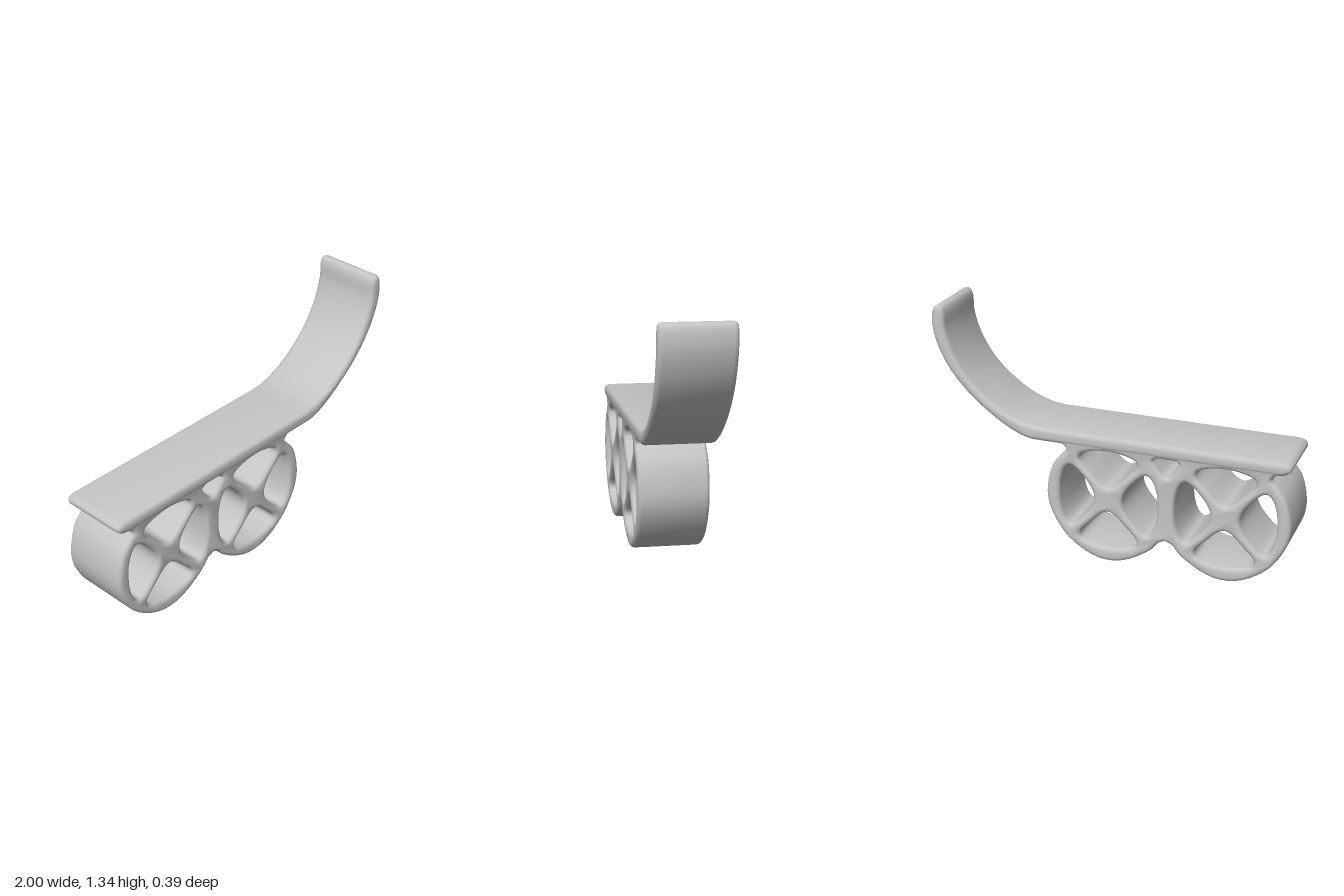
import * as THREE from 'three';
import { mergeVertices, toCreasedNormals } from 'three/addons/utils/BufferGeometryUtils.js';

const HUB_Y = 0.364;
const MID_X = -0.325; // mirror line between the two wheels

const vec = ([x, y]) => new THREE.Vector2(x, y);

// Smooth curve through a few points
function smooth(points, closed, samples) {
  const curve = new THREE.CatmullRomCurve3(
    points.map(([x, y]) => new THREE.Vector3(x, y, 0)), closed, 'centripetal');
  const result = curve.getPoints(samples).map((p) => [p.x, p.y]);
  if (closed) result.pop();
  return result;
}

// Extrusion along z with rounded edges that stay inside the outline.
// The outline runs counter-clockwise, holes clockwise.
function slab(outline, holes, halfDepth, bevel) {
  const wind = (points, clockwise) => {
    const path = points.map(vec);
    return THREE.ShapeUtils.isClockWise(path) === clockwise ? path : path.reverse();
  };
  const shape = new THREE.Shape(wind(outline, false));
  holes.forEach((h) => shape.holes.push(new THREE.Path(wind(h, true))));
  let geometry = new THREE.ExtrudeGeometry(shape, {
    depth: 2 * (halfDepth - bevel), bevelEnabled: true, bevelThickness: bevel,
    bevelSize: bevel, bevelOffset: -bevel, bevelSegments: 3,
  });
  geometry.translate(0, 0, bevel - halfDepth);
  geometry.deleteAttribute('uv');
  geometry.deleteAttribute('normal');
  geometry = mergeVertices(geometry, 1e-4);
  return toCreasedNormals(geometry, 0.6);
}

export function createModel() {
  const group = new THREE.Group();
  const grey = new THREE.MeshStandardMaterial({ color: 0xc4c4c4 });
  grey.name = 'grey';

  const add = (name, geometry) => {
    const mesh = new THREE.Mesh(geometry, grey);
    mesh.name = name;
    group.add(mesh);
  };

  // Flat deck sweeping up into a curved tail
  const tail = [[0.38, 0.73], [0.47, 0.742], [0.61, 0.8], [0.785, 0.94],
    [0.88, 1.085], [0.922, 1.22], [0.925, 1.3], [0.937, 1.335], [0.96, 1.346],
    [0.985, 1.335], [0.998, 1.3], [0.996, 1.2], [0.935, 1.04], [0.81, 0.88],
    [0.64, 0.745], [0.53, 0.683], [0.45, 0.657], [0.38, 0.654]];
  const deckEnd = [[-0.92, 0.654], [-0.965, 0.665], [-0.99, 0.69],
    [-0.985, 0.715], [-0.95, 0.73]];
  add('deckAndTail', slab(
    [...smooth(tail, false, 54), ...smooth(deckEnd, false, 10)], [], 0.193, 0.024));

  // Outer edge of the right wheel, from the deck round to the valley
  const rim = [[0.3, 0.71], [0.28, 0.67], [0.25, 0.645], [0.238, 0.622],
    [0.268, 0.59], [0.318, 0.525], [0.351, 0.39], [0.345, 0.3], [0.312, 0.215],
    [0.24, 0.112], [0.13, 0.034], [0.05, 0.006], [0, 0.002], [-0.05, 0.006],
    [-0.13, 0.034], [-0.24, 0.105], [-0.29, 0.16], [MID_X, 0.175]];
  const rightEdge = smooth(rim, false, 54);
  const leftEdge = rightEdge.slice(0, -1).reverse().map(([x, y]) => [2 * MID_X - x, y]);

  // Four openings between the crossed spokes of each wheel
  const upper = [[0, 0.283], [0.1, 0.27], [0.155, 0.247], [0.162, 0.215],
    [0.1, 0.145], [0.04, 0.087], [0, 0.07], [-0.04, 0.087], [-0.1, 0.145],
    [-0.162, 0.215], [-0.155, 0.247], [-0.1, 0.27]];
  const lower = upper.map(([x, y]) => [x, -y]);
  const side = [[0.278, 0], [0.27, 0.09], [0.245, 0.155], [0.218, 0.175],
    [0.185, 0.16], [0.1, 0.065], [0.08, 0], [0.1, -0.065], [0.185, -0.16],
    [0.218, -0.175], [0.245, -0.155], [0.27, -0.09]];
  const otherSide = side.map(([x, y]) => [-x, y]);
  const holes = [];
  for (const hubX of [2 * MID_X, 0]) {
    for (const opening of [upper, lower, side, otherSide]) {
      holes.push(smooth(opening.map(([x, y]) => [x + hubX, y + HUB_Y]), true, 40));
    }
  }

  // Small triangular opening between the wheels, under the deck
  const gap = [[0, 0.65], [0.055, 0.648], [0.072, 0.634], [0.058, 0.605],
    [0.02, 0.557], [0, 0.55], [-0.02, 0.557], [-0.058, 0.605], [-0.072, 0.634],
    [-0.055, 0.648]];
  holes.push(smooth(gap.map(([x, y]) => [x + MID_X, y]), true, 30));

  add('spokedWheels', slab([...rightEdge, ...leftEdge], holes, 0.19, 0.022));
  return group;
}
